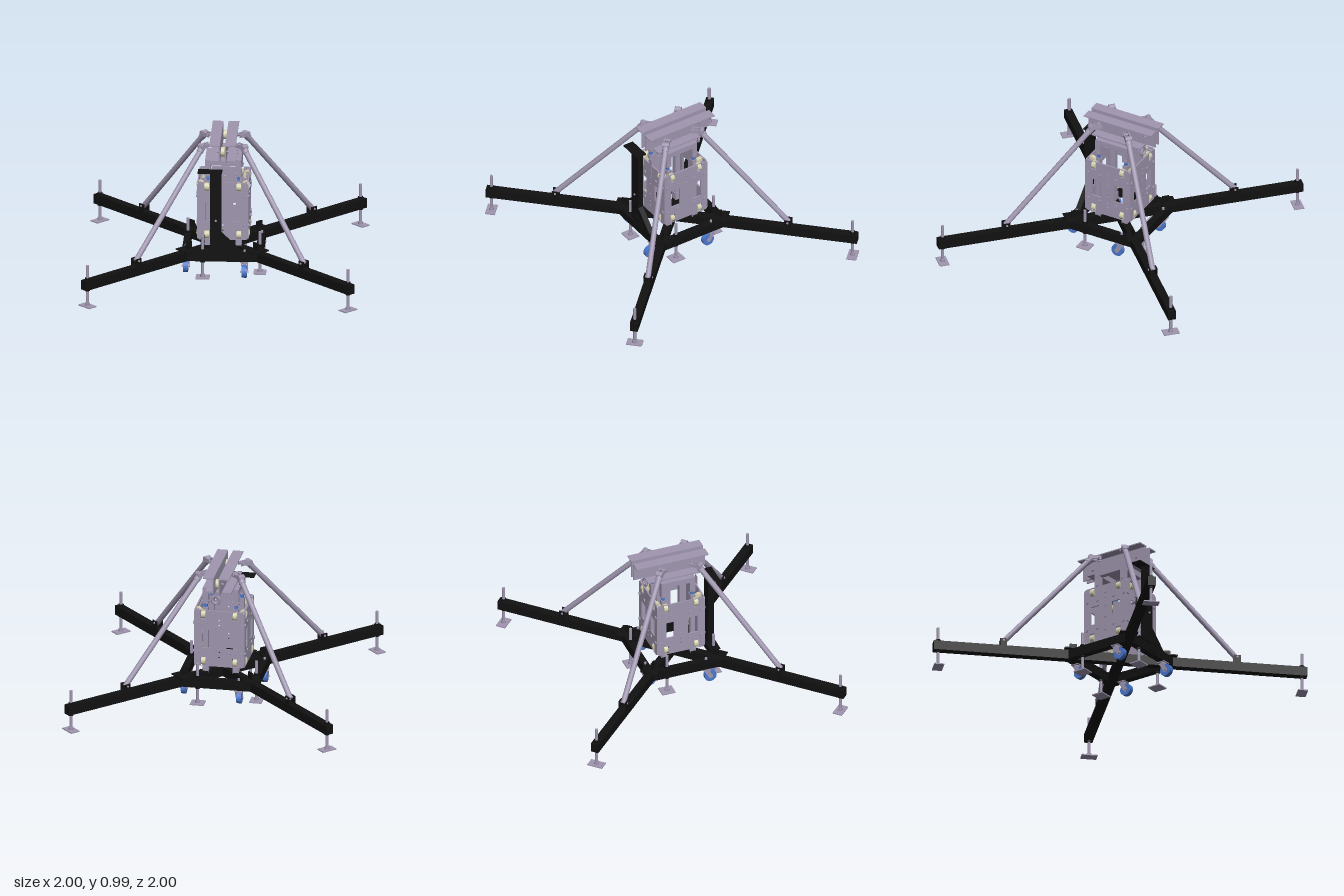
import * as THREE from 'three';

const material = (name, color, side = THREE.FrontSide) => {
  const m = new THREE.MeshStandardMaterial({ color, side });
  m.name = name;
  return m;
};
const steel = material('lilac steel', 0xa097b0);
const black = material('black paint', 0x111111);
const blue = material('blue caster', 0x4a78d0);
const cream = material('cream roller', 0xd6d2ae);

function add(parent, name, geometry, mat, x = 0, y = 0, z = 0) {
  const mesh = new THREE.Mesh(geometry, mat);
  mesh.name = name;
  mesh.position.set(x, y, z);
  parent.add(mesh);
  return mesh;
}
const box = (parent, name, mat, w, h, d, x, y, z) =>
  add(parent, name, new THREE.BoxGeometry(w, h, d), mat, x, y, z);

// Cylinder between two points
function rod(parent, name, mat, r, a, b, sides = 20) {
  const from = new THREE.Vector3(...a), to = new THREE.Vector3(...b);
  const dir = to.clone().sub(from);
  const mesh = add(parent, name, new THREE.CylinderGeometry(r, r, dir.length(), sides), mat);
  mesh.position.copy(from).add(to).multiplyScalar(0.5);
  mesh.quaternion.setFromUnitVectors(new THREE.Vector3(0, 1, 0), dir.normalize());
  return mesh;
}

function group(parent, name, x = 0, y = 0, z = 0, turn = 0) {
  const g = new THREE.Group();
  g.name = name;
  g.position.set(x, y, z);
  g.rotation.y = turn;
  parent.add(g);
  return g;
}

function rectHole(shape, x0, y0, x1, y1) {
  const p = new THREE.Path();
  p.moveTo(x0, y0).lineTo(x0, y1).lineTo(x1, y1).lineTo(x1, y0).closePath();
  shape.holes.push(p);
}

// Screw jack with a flat foot
function levelingFoot(parent, x, z, w, d, turn = 0) {
  const g = group(parent, 'levelingFoot', x, 0, z, turn);
  box(g, 'footPad', steel, w, 0.008, d, 0, 0.004, 0);
  rod(g, 'footSocket', steel, 0.018, [0, 0.008, 0], [0, 0.026, 0]);
  rod(g, 'footScrew', steel, 0.011, [0, 0.02, 0], [0, 0.31, 0]);
  rod(g, 'lowerNut', black, 0.02, [0, 0.118, 0], [0, 0.132, 0], 6);
  rod(g, 'upperNut', black, 0.02, [0, 0.2, 0], [0, 0.216, 0], 6);
}

// Swivel caster trailing toward +z
function caster(parent, x, z) {
  const g = group(parent, 'caster', x, 0, z);
  box(g, 'casterPlate', steel, 0.06, 0.007, 0.06, 0, 0.127, 0);
  rod(g, 'casterSwivel', steel, 0.024, [0, 0.108, 0], [0, 0.125, 0]);
  rod(g, 'casterStud', steel, 0.01, [0, 0.19, 0], [0, 0.215, 0], 6);
  const fork = new THREE.Shape([[-0.022, 0.115], [0.022, 0.115], [0.042, 0.055], [0.018, 0.05]]
    .map(p => new THREE.Vector2(...p)));
  for (const s of [-1, 1]) {
    const cheek = add(g, 'casterFork', new THREE.ExtrudeGeometry(fork, { depth: 0.004, bevelEnabled: false }),
      steel, s * 0.022 - 0.002, 0, 0);
    cheek.rotation.y = -Math.PI / 2;
    cheek.position.x += 0.004;
  }
  rod(g, 'casterWheel', blue, 0.045, [-0.017, 0.06, 0.03], [0.017, 0.06, 0.03], 32);
  rod(g, 'casterHub', steel, 0.018, [-0.019, 0.06, 0.03], [0.019, 0.06, 0.03]);
  rod(g, 'casterAxle', steel, 0.007, [-0.029, 0.06, 0.03], [0.029, 0.06, 0.03], 10);
}

// Outrigger beam and its strut, running along local +z
function outrigger(parent, turn) {
  const g = group(parent, 'outrigger', 0, 0, 0, turn);
  box(g, 'legBeam', black, 0.058, 0.07, 1.358, 0, 0.165, 0.679);
  levelingFoot(g, 0, 1.322, 0.115, 0.072);
  for (const s of [-1, 1]) box(g, 'strutBracket', black, 0.008, 0.06, 0.05, s * 0.025, 0.225, 0.85);
  rod(g, 'strutPin', steel, 0.008, [-0.034, 0.24, 0.85], [0.034, 0.24, 0.85], 10);
  rod(g, 'strut', steel, 0.02, [0, 0.235, 0.853], [0, 0.94, 0.215]);
  rod(g, 'strutCollar', steel, 0.024, [0, 0.915, 0.238], [0, 0.945, 0.21]);
  rod(g, 'strutKnuckle', steel, 0.02, [-0.024, 0.953, 0.215], [0.024, 0.953, 0.215]);
  for (const s of [-1, 1]) box(g, 'strutClevis', steel, 0.008, 0.026, 0.075, s * 0.018, 0.953, 0.175);
  rod(g, 'clevisPin', steel, 0.009, [-0.03, 0.953, 0.155], [0.03, 0.953, 0.155], 10);
}

// Carriage wall facing local +z, with windows, roller slots and bolts
function carriageWall(parent, turn) {
  const g = group(parent, 'carriageWall', 0, 0, 0, turn);
  const s = new THREE.Shape();
  const w = 0.184, b = 0.26, t = 0.69, c = 0.015;
  s.moveTo(-w + c, b).lineTo(w - c, b).lineTo(w, b + c).lineTo(w, t - c).lineTo(w - c, t)
    .lineTo(-w + c, t).lineTo(-w, t - c).lineTo(-w, b + c).closePath();
  for (const m of [-1, 1]) {
    rectHole(s, m * 0.09 - 0.036, 0.4, m * 0.09 + 0.036, 0.54);
    for (const y of [0.295, 0.655]) rectHole(s, m * 0.115 - 0.02, y - 0.033, m * 0.115 + 0.02, y + 0.033);
  }
  for (const y of [0.33, 0.37, 0.43, 0.52, 0.58, 0.62]) {
    const hole = new THREE.Path();
    hole.absarc(0, y, 0.006, 0, Math.PI * 2, true);
    s.holes.push(hole);
  }
  add(g, 'wallPlate', new THREE.ExtrudeGeometry(s, { depth: 0.01, bevelEnabled: false, curveSegments: 6 }),
    steel, 0, 0, 0.174);
  for (const m of [-1, 1]) for (const y of [0.295, 0.655]) {
    const x = m * 0.115;
    rod(g, 'guideRoller', cream, 0.03, [x - 0.015, y, 0.163], [x + 0.015, y, 0.163], 24);
    rod(g, 'rollerAxle', steel, 0.008, [x - 0.034, y, 0.166], [x + 0.034, y, 0.166], 10);
    const by = y + (y > 0.5 ? -0.07 : 0.07);
    for (const dx of [-0.045, 0.045]) rod(g, 'wallBolt', steel, 0.013, [x + dx, by, 0.18], [x + dx, by, 0.192], 12);
  }
}

export function createModel() {
  const model = new THREE.Group();
  model.name = 'liftStand';

  // Square base frame with outriggers on its diagonals
  const base = group(model, 'base');
  for (let i = 0; i < 4; i++) {
    const side = group(base, 'frameSide', 0, 0, 0, i * Math.PI / 2);
    box(side, 'frameBeam', black, 0.58, 0.07, 0.05, 0, 0.165, 0.265);
    levelingFoot(side, -0.14, 0.265, 0.1, 0.09);
    outrigger(base, Math.PI / 4 + i * Math.PI / 2);
    const corner = group(base, 'cornerBracket', 0, 0, 0, Math.PI / 4 + i * Math.PI / 2);
    box(corner, 'gussetPlate', black, 0.13, 0.008, 0.1, 0, 0.204, 0.36);
    box(corner, 'gussetRib', black, 0.012, 0.06, 0.05, 0, 0.23, 0.34);
  }
  for (const [x, z] of [[-0.265, 0.16], [0.265, -0.16], [-0.16, -0.265], [0.16, 0.265]]) caster(base, x, z);

  // Front post with cap plate and diagonal brace
  const post = group(model, 'post');
  box(post, 'postBeam', black, 0.08, 0.6, 0.045, -0.045, 0.5, 0.267);
  box(post, 'postCap', black, 0.175, 0.008, 0.08, -0.0875, 0.802, 0.262);
  box(post, 'postFoot', black, 0.22, 0.008, 0.075, -0.07, 0.204, 0.265);
  box(post, 'postFacePlate', black, 0.09, 0.11, 0.008, 0, 0.2, 0.294);
  rod(post, 'postBolt', steel, 0.008, [-0.045, 0.44, 0.285], [-0.045, 0.44, 0.296], 10);
  const brace = new THREE.Shape([[-0.01, 0.27], [0.075, 0.195], [0.145, 0.195], [-0.01, 0.345]]
    .map(p => new THREE.Vector2(...p)));
  add(post, 'postBrace', new THREE.ExtrudeGeometry(brace, { depth: 0.04, bevelEnabled: false }), black, 0, 0, 0.247);

  // Carriage box around the four mast tubes
  const carriage = group(model, 'carriage');
  for (let i = 0; i < 4; i++) carriageWall(carriage, i * Math.PI / 2);
  const mast = group(model, 'mast');
  for (const x of [-0.11, 0.11]) for (const z of [-0.11, 0.11]) {
    box(mast, 'mastTube', steel, 0.035, 0.5, 0.035, x, 0.44, z);
    box(mast, 'mastHead', steel, 0.04, 0.09, 0.04, x, 0.765, z);
    rod(mast, 'mastHeadPin', steel, 0.012, [x - 0.026, 0.735, z], [x + 0.026, 0.735, z], 12);
    box(mast, 'mastJoint', blue, 0.022, 0.035, 0.022, x, 0.705, z);
    box(mast, 'mastShoe', steel, 0.045, 0.07, 0.045, x, 0.225, z);
  }
  for (const s of [-1, 1]) {
    box(mast, 'headRailAcross', steel, 0.26, 0.042, 0.04, 0, 0.823, s * 0.11);
    box(mast, 'headRailAlong', steel, 0.04, 0.042, 0.26, s * 0.11, 0.823, 0);
    rod(mast, 'guideRod', steel, 0.007, [s * 0.165, 0.675, -0.17], [s * 0.165, 0.675, 0.17], 10);
  }
  box(mast, 'headPlate', steel, 0.19, 0.01, 0.4, 0, 0.85, -0.02);
  box(mast, 'guideStrip', steel, 0.03, 0.16, 0.006, 0.01, 0.67, 0.19);

  // Rear lifting eye under the head plate
  box(mast, 'liftingEyeStem', steel, 0.025, 0.035, 0.025, 0.02, 0.83, -0.2);
  add(mast, 'liftingEye', new THREE.TorusGeometry(0.027, 0.01, 10, 24), steel, 0.02, 0.785, -0.2);

  // Paired angle beams on top with rollers between them
  const top = group(model, 'topBeams');
  for (const s of [-1, 1]) {
    box(top, 'beamWeb', steel, 0.008, 0.135, 0.55, s * 0.022, 0.922, -0.03);
    box(top, 'beamFlange', steel, 0.077, 0.008, 0.55, s * 0.0565, 0.988, -0.03);
  }
  for (const z of [-0.22, 0.16]) {
    rod(top, 'beamRoller', cream, 0.034, [-0.014, 0.92, z], [0.014, 0.92, z], 24);
    rod(top, 'beamBolt', steel, 0.01, [-0.04, 0.92, z], [0.04, 0.92, z], 12);
  }
  return model;
}
